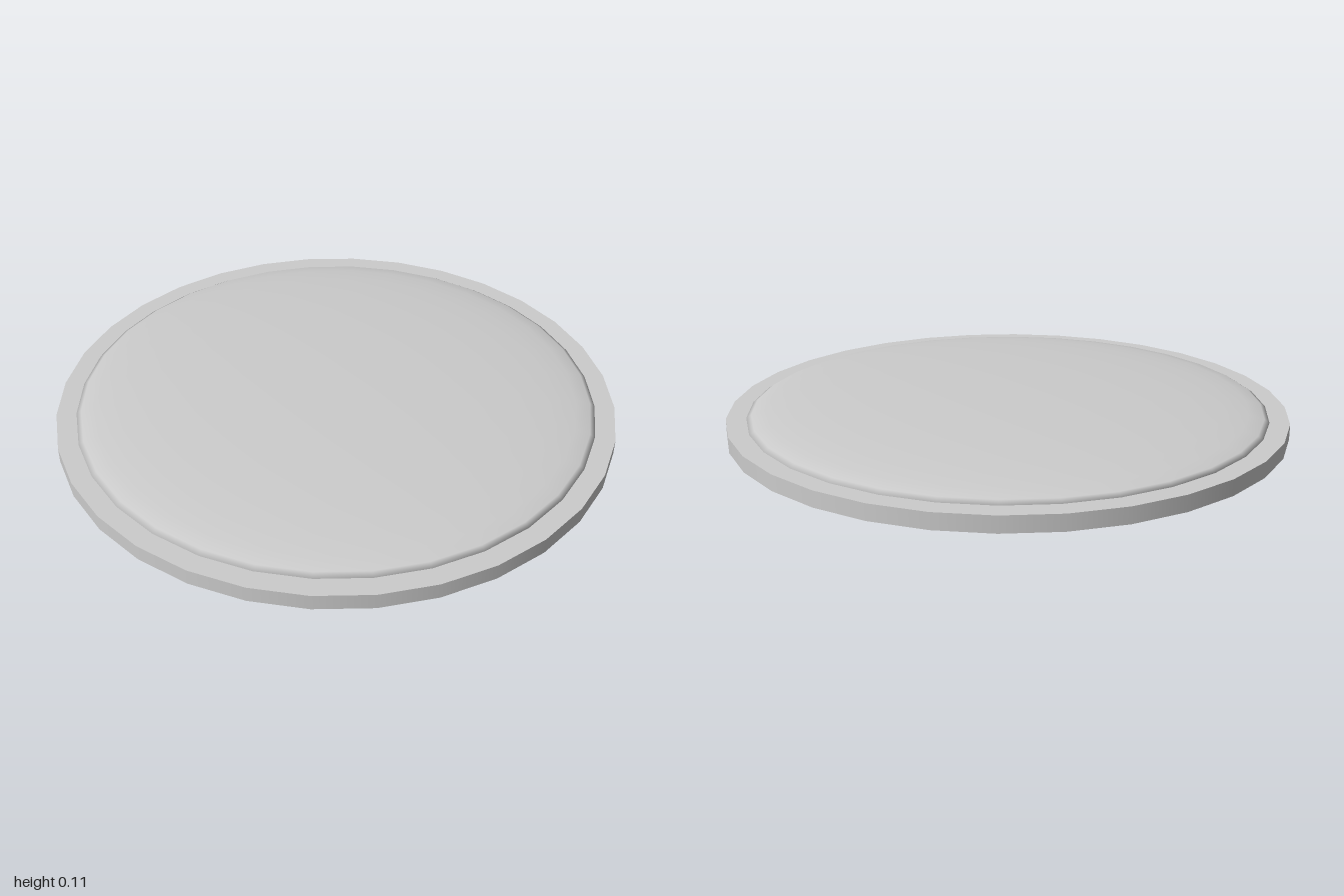
import * as THREE from 'three';

const SEGMENTS = 32;
const RIM_HEIGHT = 0.056;
const DOME_RADIUS = 0.93;
const DOME_HEIGHT = 0.058;

export function createModel() {
  const group = new THREE.Group();
  group.name = 'domedDisc';
  const material = new THREE.MeshStandardMaterial({ color: 0xcccccc });

  // Flat round base whose edge forms the rim
  const base = new THREE.Mesh(
    new THREE.CylinderGeometry(1, 1, RIM_HEIGHT, SEGMENTS),
    material
  );
  base.name = 'base';
  base.position.y = RIM_HEIGHT / 2;
  group.add(base);

  // Shallow dome: upper half of a flattened sphere
  const domeGeometry = new THREE.SphereGeometry(
    DOME_RADIUS, SEGMENTS, 8, 0, Math.PI * 2, 0, Math.PI / 2
  );
  domeGeometry.scale(1, DOME_HEIGHT / DOME_RADIUS, 1);
  const dome = new THREE.Mesh(domeGeometry, material);
  dome.name = 'dome';
  dome.position.y = RIM_HEIGHT;
  group.add(dome);

  return group;
}
